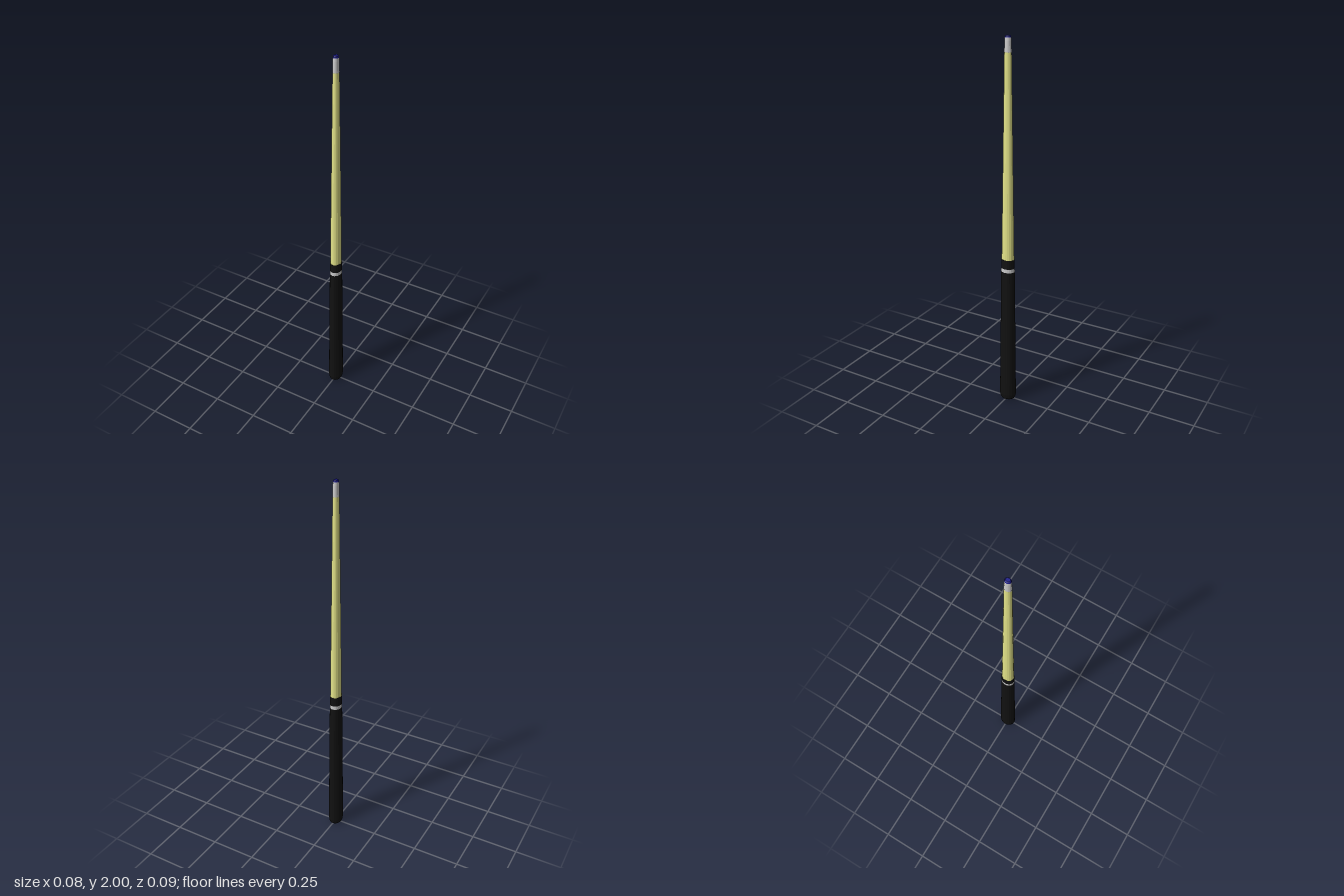
import * as THREE from 'three';

const SIDES = 20;
const DEPTH = 1.2; // oval section: deeper in z than in x

export function createModel() {
  const cue = new THREE.Group();
  cue.name = 'cue';

  const paint = (color) => new THREE.MeshStandardMaterial({ color, flatShading: true });
  const black = paint(0x111111);
  const wood = paint(0xe3e388);
  const grey = paint(0xcccccc);
  const blue = paint(0x1c1c8c);

  // Turned section from [radius, height] pairs, listed bottom to top
  function turned(name, material, profile) {
    const points = profile.map(([r, y]) => new THREE.Vector2(r, y));
    const mesh = new THREE.Mesh(new THREE.LatheGeometry(points, SIDES), material);
    mesh.scale.z = DEPTH;
    mesh.name = name;
    cue.add(mesh);
  }

  // Butt with a rounded, closed foot
  turned('buttGrip', black, [[0, 0], [0.031, 0], [0.036, 0.009], [0.039, 0.03], [0.0315, 0.78]]);
  turned('buttRing', grey, [[0.0315, 0.78], [0.031, 0.8]]);
  turned('jointCollar', black, [[0.031, 0.8], [0.03, 0.85], [0.028, 0.85]]);

  // Tapered shaft and its end
  turned('shaft', wood, [[0.029, 0.85], [0.0155, 1.92]]);
  turned('ferrule', grey, [[0.0155, 1.92], [0.016, 1.922], [0.0145, 1.975], [0.0135, 1.99], [0.012, 1.992]]);
  turned('tip', blue, [[0.0135, 1.99], [0.012, 1.997], [0.009, 2], [0, 2]]);

  return cue;
}
